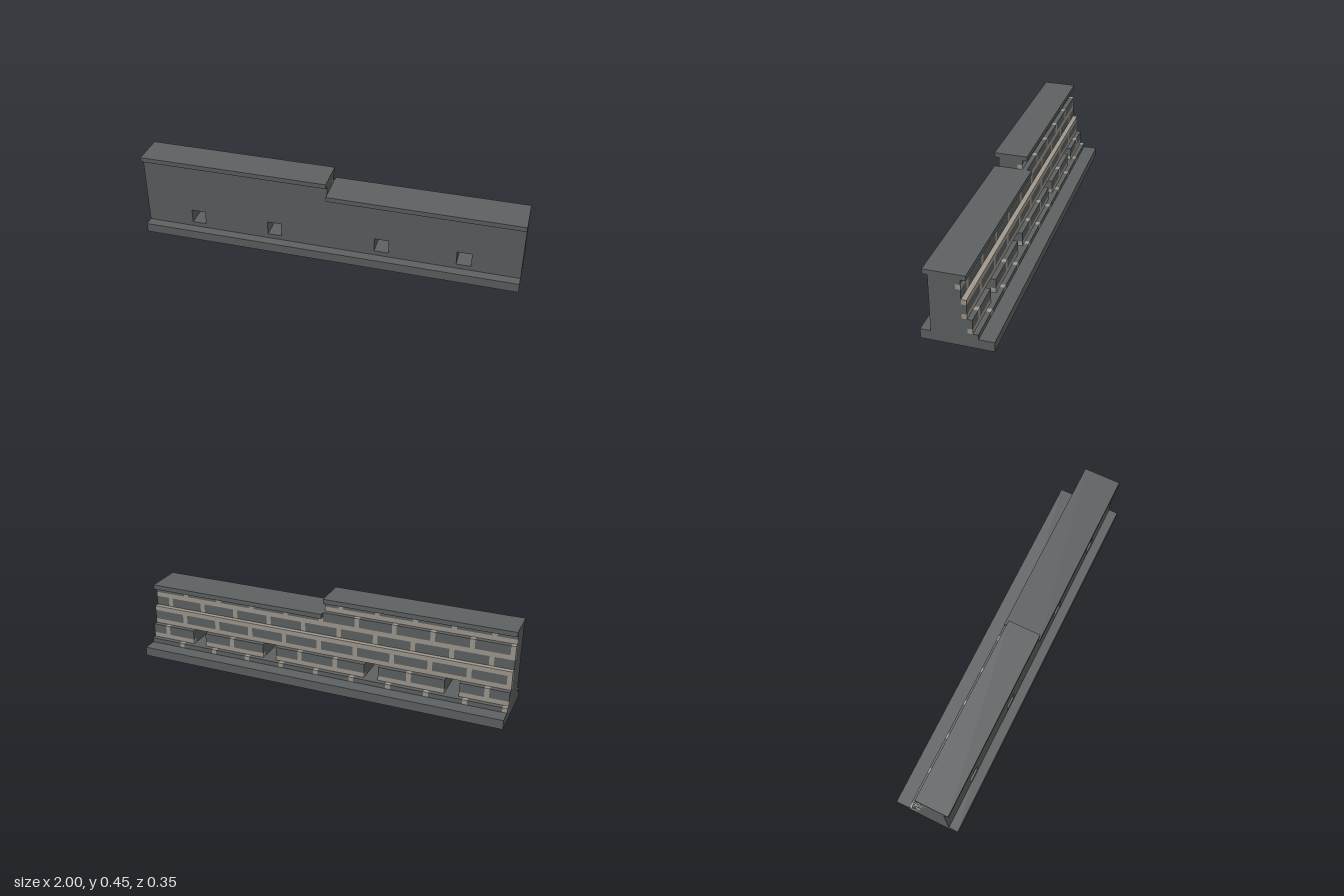
import * as THREE from 'three';

const U = 0.025; // block size: every measure below counts blocks

export function createModel() {
  const model = new THREE.Group();
  const stone = new THREE.MeshStandardMaterial({ color: 0x5d6161 });
  stone.name = 'dark stone';
  const mortar = new THREE.MeshStandardMaterial({ color: 0xa0998e });
  mortar.name = 'pale mortar';

  const windows = [[-30, -27], [-13, -10], [10, 13], [27, 30]];

  function box(name, mat, x0, x1, y0, y1, z0, z1) {
    const mesh = new THREE.Mesh(
      new THREE.BoxGeometry((x1 - x0) * U, (y1 - y0) * U, (z1 - z0) * U), mat);
    mesh.position.set((x0 + x1) / 2 * U, (y0 + y1) / 2 * U, (z0 + z1) / 2 * U);
    mesh.name = name;
    model.add(mesh);
  }

  // Pieces of the run x0..x1 left over between sorted gaps
  function spans(x0, x1, gaps) {
    const out = [];
    let x = x0;
    for (const [a, b] of [...gaps].sort((p, q) => p[0] - q[0])) {
      if (a > x) out.push([x, a]);
      x = Math.max(x, b);
    }
    if (x < x1) out.push([x, x1]);
    return out;
  }

  // Footing and the two copings
  box('footing', stone, -40, 40, 0, 2, -7, 7);
  box('highCoping', stone, -40, 0, 17, 18, -1, 6);
  box('lowCoping', stone, 0, 40, 14, 15, -2, 6);

  // Smooth front wall with a stepped top and window holes
  const outline = [[-40, 2], [40, 2], [40, 14], [0, 14], [0, 17], [-40, 17]];
  const shape = new THREE.Shape(outline.map(([x, y]) => new THREE.Vector2(x * U, y * U)));
  for (const [a, b] of windows) {
    const corners = [[a, 3], [a, 6], [b, 6], [b, 3]];
    shape.holes.push(new THREE.Path(corners.map(([x, y]) => new THREE.Vector2(x * U, y * U))));
  }
  const wall = new THREE.Mesh(
    new THREE.ExtrudeGeometry(shape, { depth: 4 * U, bevelEnabled: false }), stone);
  wall.position.z = U;
  wall.name = 'frontWall';
  model.add(wall);

  // Solid backing that steps inwards behind the brick facing
  box('backing', stone, -40, 40, 2, 3, -3, 1);
  for (const [a, b] of spans(-40, 40, windows)) box('backing', stone, a, b, 3, 6, -2, 1);
  box('backing', stone, -40, 40, 6, 10, -1, 1);
  box('backing', stone, -40, 40, 10, 14, 0, 1);
  box('backing', stone, -40, 0, 14, 15, 0, 1);

  // Horizontal mortar beds: y, back face z, right end x, gaps
  const beds = [[3, -3, 40, windows], [6, -2, 40, []], [9, -2, 40, []], [12, -1, 40, []], [15, 0, 0, []]];
  for (const [y, z, end, gaps] of beds) {
    for (const [a, b] of spans(-40, end, gaps)) box('mortarBed', mortar, a, b, y, y + 1, z, z + 1);
  }

  // Brick courses: x range, y range, back face z, first joint, gaps
  const courses = [
    [-40, 40, 2, 3, -4, -40, []],
    [-40, 40, 4, 6, -3, -36, windows],
    [-40, 40, 7, 9, -2, -40, []],
    [-40, 40, 10, 12, -1, -36, []],
    [-40, 0, 13, 15, -1, -40, []],
    [0, 40, 13, 14, -1, 0, []],
    [-40, 0, 16, 17, 0, -36, []],
  ];
  for (const [x0, x1, y0, y1, z, first, gaps] of courses) {
    const joints = [];
    for (let x = first; x < x1; x += 8) {
      if (!gaps.some(([a, b]) => x >= a && x < b)) joints.push([x, x + 1]);
    }
    for (const [a, b] of joints) box('mortarJoint', mortar, a, b, y0, y1, z, z + 1);
    for (const [a, b] of spans(x0, x1, [...joints, ...gaps])) box('brick', stone, a, b, y0, y1, z, z + 1);
  }

  return model;
}
